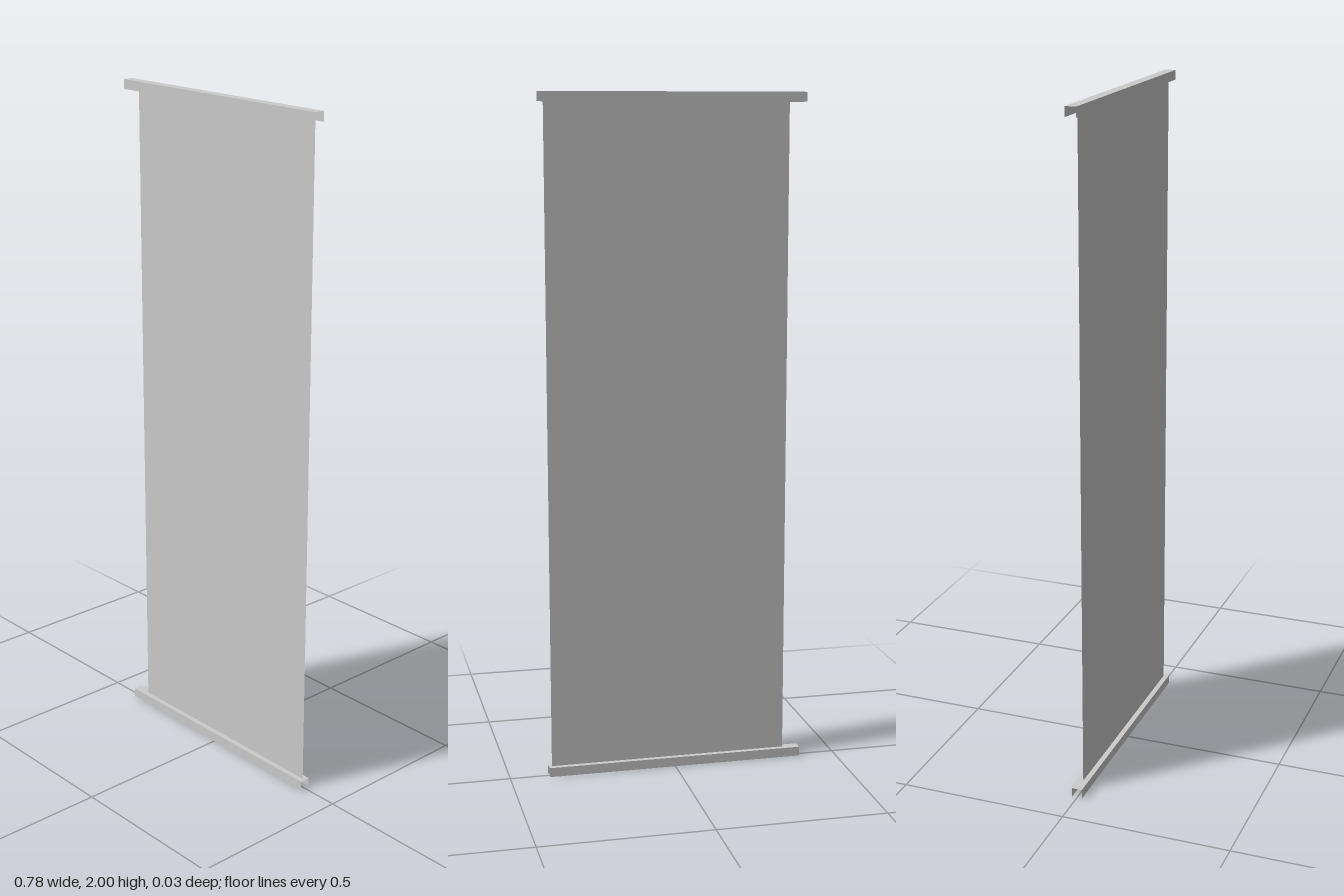
import * as THREE from 'three';

const material = new THREE.MeshStandardMaterial({ color: 0xcccccc, side: THREE.DoubleSide });

function sheet(name, width, height, x, y, z, flat = false) {
  const geometry = new THREE.PlaneGeometry(width, height);
  if (flat) geometry.rotateX(-Math.PI / 2);
  const mesh = new THREE.Mesh(geometry, material);
  mesh.name = name;
  mesh.position.set(x, y, z);
  return mesh;
}

// Open-ended channel of thin sheets: a flat top with a wall front and back
function createRail(name, xMin, xMax, yTop) {
  const height = 0.028, depth = 0.031;
  const width = xMax - xMin, x = (xMin + xMax) / 2;
  const rail = new THREE.Group();
  rail.name = name;
  rail.add(sheet(name + 'Top', width, depth, x, yTop, 0, true));
  for (const [side, s] of [['Front', 1], ['Back', -1]]) {
    rail.add(sheet(name + side, width, height, x, yTop - height / 2, s * depth / 2));
  }
  return rail;
}

export function createModel() {
  const model = new THREE.Group();
  model.name = 'hangingPanel';

  // Thin panel held between the two rails, slightly off centre
  const left = -0.34, right = 0.375, bottom = 0.028, top = 2;
  model.add(sheet('panel', right - left, top - bottom, (left + right) / 2, (top + bottom) / 2, 0));

  // Rails
  model.add(createRail('topRail', -0.388, 0.39, 2));
  model.add(createRail('bottomRail', -0.39, 0.384, 0.028));
  return model;
}
